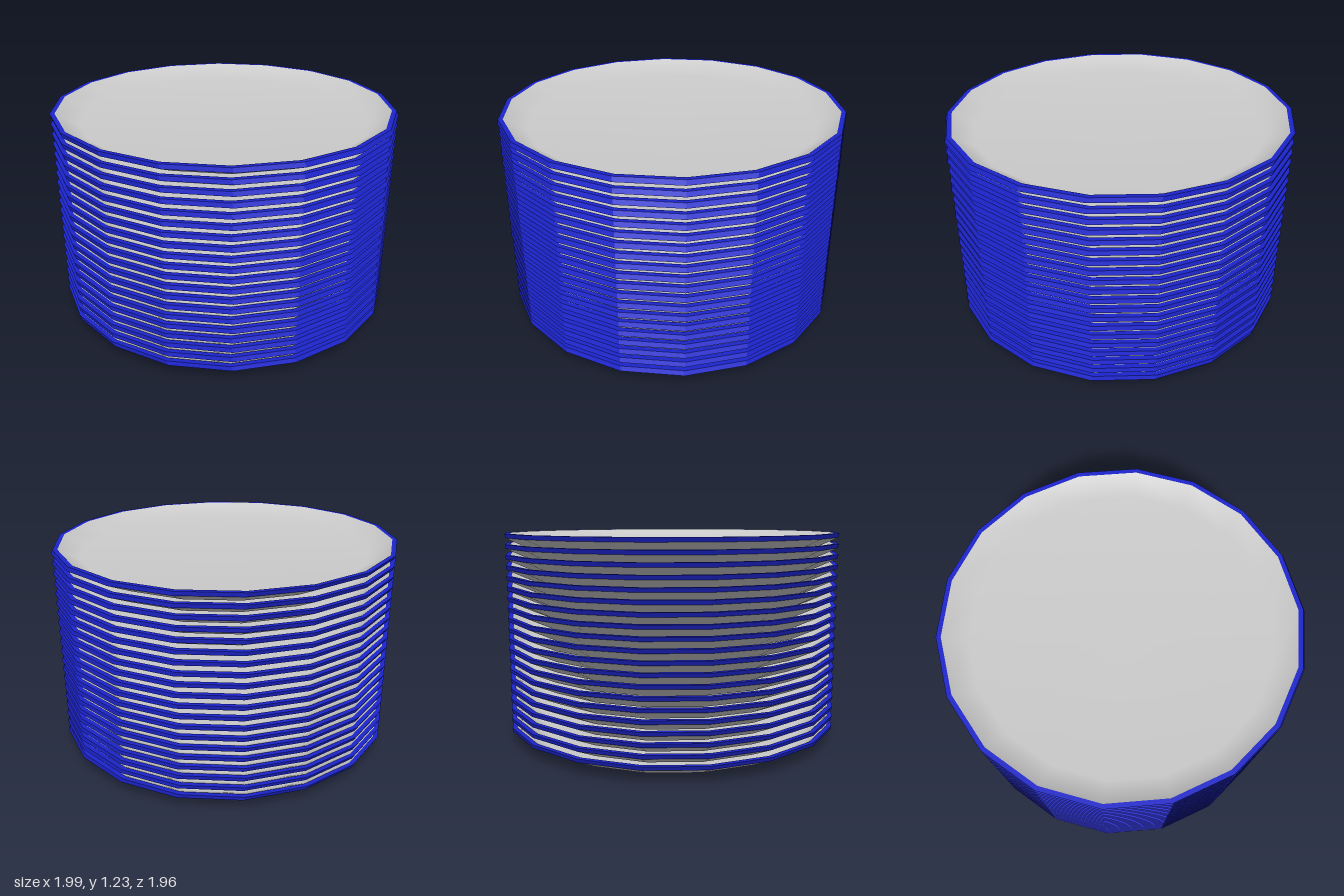
import * as THREE from 'three';
import { mergeGeometries } from 'three/addons/utils/BufferGeometryUtils.js';

const SIDES = 18, COUNT = 20, PITCH = 0.059;

// Turned 18-sided shape with a faint lean, its upper lip shifted slightly back and left
function turned(profile) {
  const points = profile.map(([r, y]) => new THREE.Vector2(r, y));
  const geo = new THREE.LatheGeometry(points, SIDES, Math.PI / 2);
  const pos = geo.attributes.position;
  for (let i = 0; i < pos.count; i++) {
    const x = pos.getX(i), y = pos.getY(i), z = pos.getZ(i);
    const shift = y > 0.09 ? -0.005 : y > 0.07 ? 0.004 : 0;
    pos.setXYZ(i, x + shift, y - 0.003 * x - 0.002 * z, z + shift);
  }
  return geo;
}

export function createModel() {
  const group = new THREE.Group();
  const grey = new THREE.MeshStandardMaterial({ color: 0xcccccc });
  const blue = new THREE.MeshStandardMaterial({ color: 0x1c24cc });

  // Plate body: flat foot, flared underside and smooth concave dish
  const body = mergeGeometries([
    turned([[0, 0.002], [0.83, 0.002]]),
    turned([[0.83, 0.002], [0.993, 0.076]]),
    turned([[0.966, 0.1], [0.84, 0.025], [0, 0.025]]),
  ]);

  // Painted rim: faceted outer band and flat top ring
  const rim = turned([[0.993, 0.076], [0.993, 0.1], [0.966, 0.1]]).toNonIndexed();
  rim.computeVertexNormals();

  // Nested stack of identical plates
  for (let i = 0; i < COUNT; i++) {
    const plate = new THREE.Group();
    plate.name = `plate${i + 1}`;
    const bodyMesh = new THREE.Mesh(body, grey);
    bodyMesh.name = 'plateBody';
    const rimMesh = new THREE.Mesh(rim, blue);
    rimMesh.name = 'plateRim';
    plate.add(bodyMesh, rimMesh);
    plate.position.y = i * PITCH;
    group.add(plate);
  }
  return group;
}
